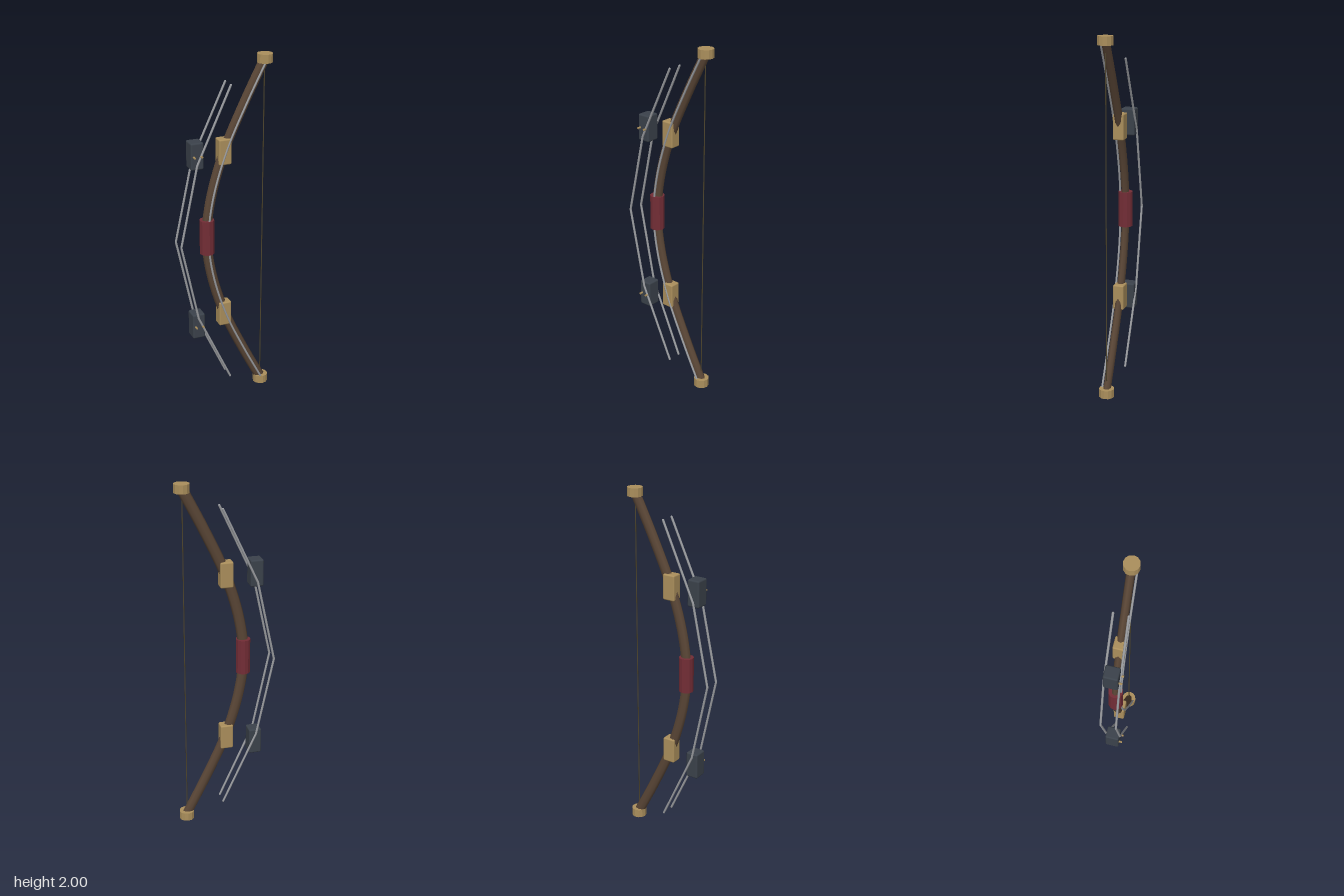
import * as THREE from 'three';
import { RoundedBoxGeometry } from 'three/addons/geometries/RoundedBoxGeometry.js';

const mat = (color, flatShading = false) => new THREE.MeshStandardMaterial({ color, flatShading });

export function createModel() {
  const group = new THREE.Group();
  const wood = mat(0x5a4636), brass = mat(0xab8f5c), brassFlat = mat(0xab8f5c, true);
  const red = mat(0x732d36, true), dark = mat(0x3b424b), steel = mat(0x9a9ca0), cord = mat(0x50472f);
  const Z = -0.005; // plane of the bow

  const add = (name, geometry, material, x, y, z) => {
    const mesh = new THREE.Mesh(geometry, material);
    mesh.name = name;
    mesh.position.set(x, y, z);
    group.add(mesh);
    return mesh;
  };

  // Bow limbs: one curved stave, narrower from front to back than from side to side
  const half = [[0.23, 0.97], [0.113, 0.74], [0, 0.49], [-0.08, 0.22]];
  const points = [...half, [-0.105, 0], ...half.map(([x, y]) => [x, -y]).reverse()]
    .map(([x, y]) => new THREE.Vector3(x, y, 0));
  const curve = new THREE.CatmullRomCurve3(points);
  add('limbs', new THREE.TubeGeometry(curve, 48, 0.03, 8), wood, 0, 1, Z).scale.z = 0.74;

  // Thin rod laid along the front of the limbs
  add('limbRod', new THREE.TubeGeometry(curve, 48, 0.006, 8), steel, 0, 1, 0.025);

  // Grip
  add('grip', new THREE.CylinderGeometry(0.041, 0.041, 0.2, 12), red, -0.103, 1.003, Z);

  // Tip caps and limb blocks
  for (const s of [1, -1]) {
    add('tipCap', new THREE.CylinderGeometry(0.043, 0.043, 0.048, 12), brassFlat, 0.232, 1 + s * 0.976, Z);
    add('limbBlock', new RoundedBoxGeometry(0.073, 0.145, 0.063, 2, 0.008), brass, -0.004, 1.002 + s * 0.488, Z);
  }

  // Bowstring
  add('string', new THREE.CylinderGeometry(0.003, 0.003, 1.95, 6), cord, 0.23, 1, Z);

  // Outer weights, each with two pins on the front
  for (const s of [1, -1]) {
    const y = 0.98 + s * 0.51;
    add('weight', new RoundedBoxGeometry(0.073, 0.151, 0.08, 2, 0.009), dark, -0.169, y, -0.006);
    for (const x of [-0.19, -0.149])
      add('pin', new THREE.CylinderGeometry(0.006, 0.006, 0.03, 8), brass, x, y, 0.038).rotation.x = Math.PI / 2;
  }

  // Bent outer rods, in front of and behind the weights
  for (const side of [1, -1]) {
    const bend = [[0.022, 0.88, 0.039], [-0.172, 0.46, 0.042], [-0.27, 0, 0.0435],
      [-0.172, -0.46, 0.042], [0.022, -0.88, 0.039]]
      .map(([x, y, z]) => new THREE.Vector3(x, y, side * z));
    for (let i = 0; i < bend.length; i++) {
      const p = bend[i];
      add('rodJoint', new THREE.SphereGeometry(0.0065, 8, 6), steel, p.x, p.y + 0.98, p.z - 0.006);
      if (!i) continue;
      const span = p.clone().sub(bend[i - 1]);
      const mid = p.clone().add(bend[i - 1]).multiplyScalar(0.5);
      const rod = add('outerRod', new THREE.CylinderGeometry(0.0065, 0.0065, span.length(), 8), steel,
        mid.x, mid.y + 0.98, mid.z - 0.006);
      rod.quaternion.setFromUnitVectors(new THREE.Vector3(0, 1, 0), span.normalize());
    }
  }
  return group;
}
